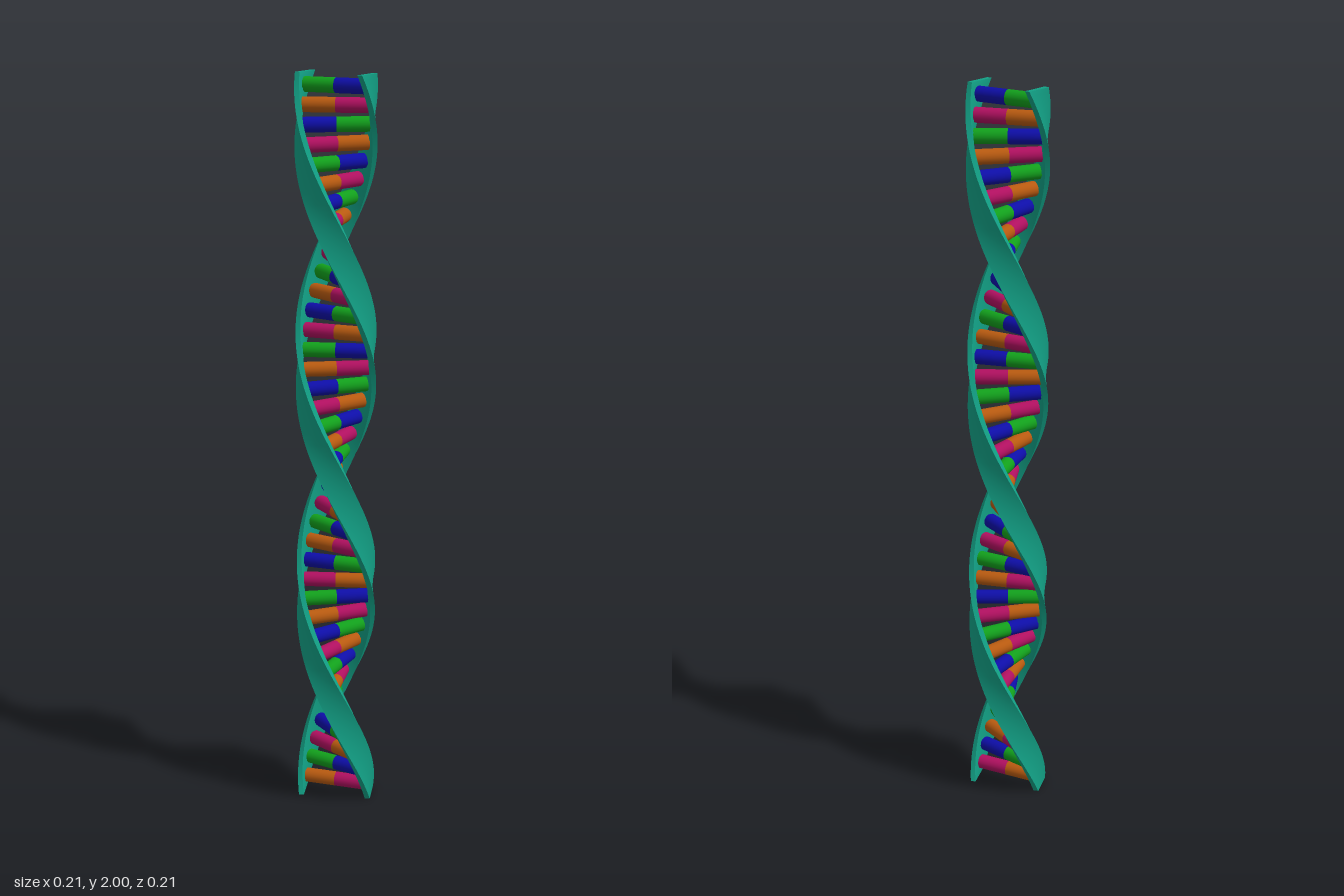
import * as THREE from 'three';

const HEIGHT = 2;
const TOP_ANGLE = THREE.MathUtils.degToRad(22);
const TURN = THREE.MathUtils.degToRad(282); // twist per unit of height
const RUNGS = 40;

// Angle of the first strand at height y, measured from +z towards +x
const angleAt = (y) => TOP_ANGLE + (HEIGHT - y) * TURN;

// A flat upright bar, twisted around the y axis into a helical ribbon
function strandGeometry(offset) {
  const geo = new THREE.BoxGeometry(0.076, HEIGHT, 0.014, 2, 160, 1);
  geo.translate(0, HEIGHT / 2, 0.093);
  const pos = geo.attributes.position;
  const v = new THREE.Vector3();
  const up = new THREE.Vector3(0, 1, 0);
  for (let i = 0; i < pos.count; i++) {
    v.fromBufferAttribute(pos, i);
    v.applyAxisAngle(up, angleAt(v.y) + offset);
    pos.setXYZ(i, v.x, v.y, v.z);
  }
  geo.computeVertexNormals();
  return geo;
}

export function createModel() {
  const model = new THREE.Group();
  model.name = 'doubleHelix';
  const paint = (color) => new THREE.MeshStandardMaterial({ color });

  // Two opposite strands
  const teal = paint(0x12a085);
  ['firstStrand', 'secondStrand'].forEach((name, i) => {
    const strand = new THREE.Mesh(strandGeometry(i * Math.PI), teal);
    strand.name = name;
    model.add(strand);
  });

  // Rungs: two coloured halves meeting on the axis, pairs repeating every four
  const green = paint(0x12a01c);
  const blue = paint(0x0e0ea8);
  const magenta = paint(0xb01060);
  const orange = paint(0xb85a10);
  const pairs = [[blue, green], [magenta, orange], [green, blue], [orange, magenta]];

  const half = new THREE.CylinderGeometry(0.02, 0.02, 0.088, 20);
  half.rotateX(Math.PI / 2);
  half.translate(0, 0, 0.044);

  for (let i = 0; i < RUNGS; i++) {
    const rung = new THREE.Group();
    rung.name = 'rung';
    rung.position.y = 1.968 - i * 0.0495;
    rung.rotation.y = angleAt(rung.position.y);
    pairs[i % 4].forEach((material, side) => {
      const mesh = new THREE.Mesh(half, material);
      mesh.name = 'rungHalf';
      mesh.rotation.y = side * Math.PI;
      rung.add(mesh);
    });
    model.add(rung);
  }
  return model;
}
